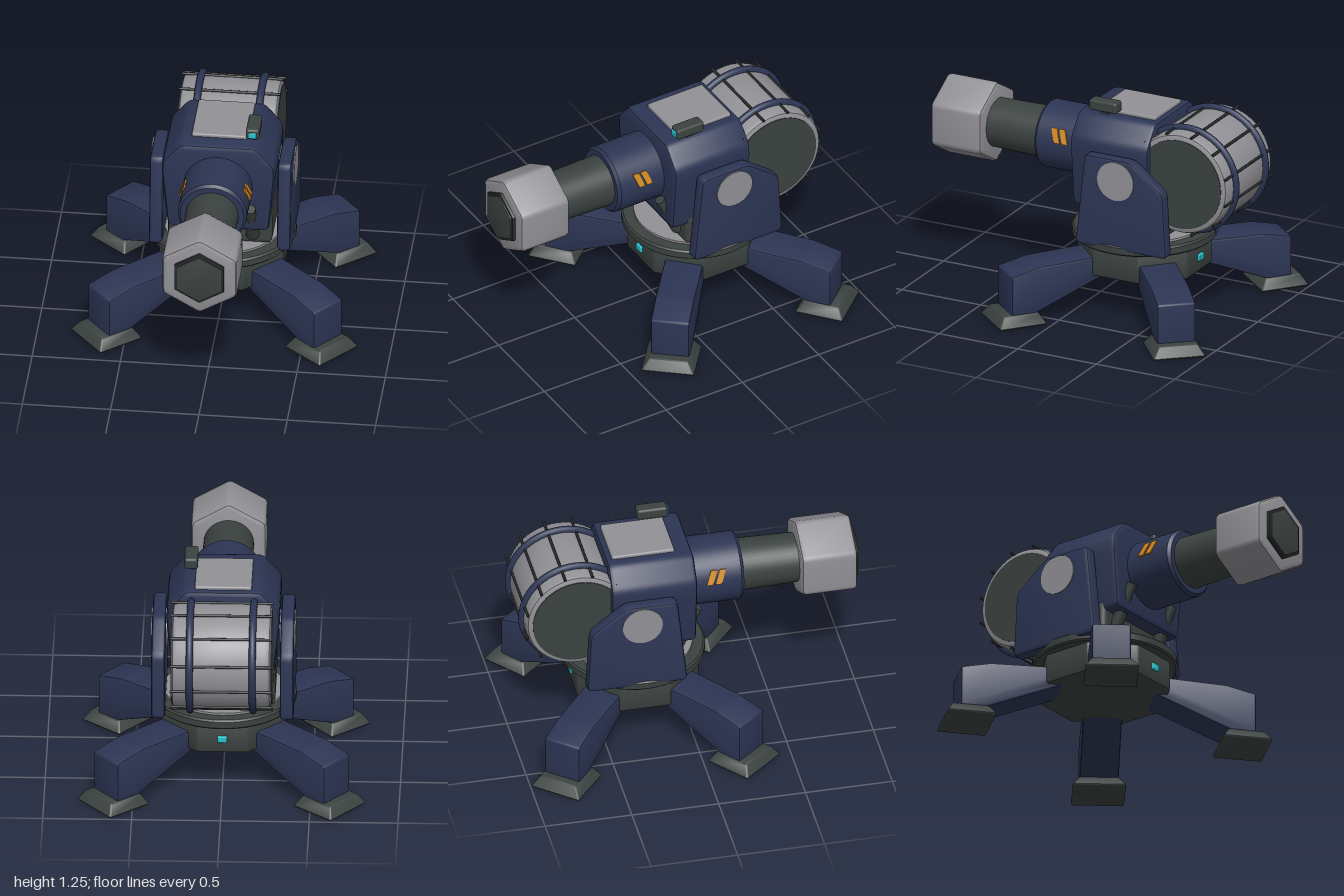
import * as THREE from 'three';
import { toCreasedNormals } from 'three/addons/utils/BufferGeometryUtils.js';
import { RoundedBoxGeometry } from 'three/addons/geometries/RoundedBoxGeometry.js';

const paint = (name, color) => {
  const m = new THREE.MeshStandardMaterial({ color });
  m.name = name;
  return m;
};

// Outline with every corner softened by radius r
function roundedShape(pts, r) {
  const s = new THREE.Shape();
  const v = pts.map(p => new THREE.Vector2(...p));
  v.forEach((p, i) => {
    const prev = v[(i + v.length - 1) % v.length], next = v[(i + 1) % v.length];
    const a = p.clone().add(prev.clone().sub(p).setLength(r));
    const b = p.clone().add(next.clone().sub(p).setLength(r));
    if (i === 0) s.moveTo(a.x, a.y); else s.lineTo(a.x, a.y);
    s.quadraticCurveTo(p.x, p.y, b.x, b.y);
  });
  s.closePath();
  return s;
}

// Bevelled prism of an outline, centred along z
function prism(pts, depth, bevel, r = 0.02) {
  const g = new THREE.ExtrudeGeometry(roundedShape(pts, r), {
    depth: depth - 2 * bevel, bevelEnabled: true, bevelThickness: bevel,
    bevelSize: bevel, bevelOffset: -bevel, bevelSegments: 2, curveSegments: 4,
  });
  g.translate(0, 0, -depth / 2 + bevel);
  return toCreasedNormals(g, 0.6);
}

const polygon = (n, r, start) => Array.from({ length: n }, (_, i) => {
  const a = start + i * Math.PI * 2 / n;
  return [r * Math.cos(a), r * Math.sin(a)];
});

const lathe = (pts, seg = 48) =>
  toCreasedNormals(new THREE.LatheGeometry(pts.map(p => new THREE.Vector2(...p)), seg), 0.5);

export function createModel() {
  const navy = paint('navy armour', 0x2c3554);
  const gray = paint('light gray metal', 0x919196);
  const dark = paint('dark gunmetal', 0x3b4240);
  const black = paint('near black', 0x242928);
  const cyan = paint('cyan light', 0x25c3cf);
  const orange = paint('orange marking', 0xd0871c);

  const model = new THREE.Group();
  const add = (name, geo, mat, x = 0, y = 0, z = 0, parent = model) => {
    const m = new THREE.Mesh(geo, mat);
    m.name = name;
    m.position.set(x, y, z);
    parent.add(m);
    return m;
  };
  const BZ = -0.28; // centre of the base along z

  // Four splayed legs with tapered feet
  const legGeo = prism([[0.2, 0.25], [0.27, 0.24], [0.71, 0.06], [0.85, 0.06],
    [0.85, 0.3], [0.68, 0.338], [0.2, 0.354]], 0.22, 0.012, 0.012);
  let footGeo = new RoundedBoxGeometry(0.28, 0.07, 0.3, 2, 0.01);
  const fp = footGeo.attributes.position;
  for (let i = 0; i < fp.count; i++) {
    const t = THREE.MathUtils.clamp((fp.getY(i) + 0.025) / 0.06, 0, 1);
    fp.setX(i, fp.getX(i) * (1 - 0.26 * t));
    fp.setZ(i, fp.getZ(i) * (1 - 0.26 * t));
  }
  footGeo = toCreasedNormals(footGeo, 0.6);
  for (const deg of [40, 140, 220, 320]) {
    const leg = new THREE.Group();
    leg.name = 'leg';
    leg.position.z = BZ;
    leg.rotation.y = -THREE.MathUtils.degToRad(deg);
    add('legBeam', legGeo, navy, 0, 0, 0, leg);
    add('foot', footGeo, dark, 0.795, 0.035, 0, leg);
    model.add(leg);
  }

  // Octagonal hub, turntable and status lights
  const hub = prism(polygon(8, 0.38, Math.PI / 8), 0.18, 0.015, 0.01).rotateX(-Math.PI / 2);
  add('hub', hub, dark, 0, 0.33, BZ);
  add('turntableRing', lathe([[0, 0.4], [0.35, 0.4], [0.35, 0.415], [0.4, 0.415], [0.41, 0.425],
    [0.41, 0.462], [0.4, 0.472], [0, 0.472]]), dark, 0, 0, BZ);
  add('turntableDisc', new THREE.CylinderGeometry(0.34, 0.34, 0.02, 48), gray, 0, 0.475, BZ);
  for (const s of [1, -1]) {
    add('statusLight', new RoundedBoxGeometry(0.055, 0.04, 0.03, 2, 0.006), cyan, 0, 0.328, BZ + s * 0.35);
  }

  // Housing and its pedestal
  add('pedestal', new RoundedBoxGeometry(0.59, 0.2, 0.46, 2, 0.03), dark, 0, 0.58, -0.29);
  add('housing', prism([[-0.285, 0.62], [0.285, 0.62], [0.32, 0.98], [0.315, 1.05], [0.215, 1.168],
    [-0.215, 1.168], [-0.315, 1.05], [-0.32, 0.98]], 0.495, 0.025, 0.03), navy, 0, 0, -0.2175);
  add('topPlate', new RoundedBoxGeometry(0.32, 0.03, 0.36, 2, 0.01), gray, 0, 1.172, -0.25);

  // Sight on top
  add('sightPost', new THREE.BoxGeometry(0.03, 0.04, 0.05), dark, 0.185, 1.175, -0.13);
  add('sight', new RoundedBoxGeometry(0.076, 0.066, 0.175, 2, 0.015), dark, 0.187, 1.216, -0.129);
  add('sightLens', new RoundedBoxGeometry(0.044, 0.036, 0.014, 2, 0.005), cyan, 0.187, 1.214, -0.04);

  // Side arms, pivots and pistons
  const armGeo = prism([[0.045, 0.44], [0.625, 0.44], [0.603, 0.83], [0.4, 0.988], [0.102, 0.988]],
    0.078, 0.018, 0.035).rotateY(Math.PI / 2);
  const pivotGeo = new THREE.CylinderGeometry(0.115, 0.115, 0.09, 40).rotateZ(Math.PI / 2);
  const tilt = Math.atan2(0.12, 0.245);
  for (const s of [1, -1]) {
    add('sideArm', armGeo, navy, s * 0.362, 0, 0);
    add('pivotCap', pivotGeo, gray, s * 0.362, 0.86, -0.307);
    const piston = new THREE.Group();
    piston.name = 'piston';
    piston.position.set(s * 0.187, 0.665, -0.002);
    piston.rotation.x = tilt;
    add('pistonSleeve', new THREE.CylinderGeometry(0.038, 0.038, 0.1, 20), dark, 0, -0.09, 0, piston);
    add('pistonRod', new THREE.CylinderGeometry(0.028, 0.028, 0.24, 20), dark, 0, 0.01, 0, piston);
    model.add(piston);
  }

  // Barrel, running forward along z
  const barrel = new THREE.Group();
  barrel.name = 'barrel';
  barrel.position.y = 0.905;
  model.add(barrel);
  add('shroud', lathe([[0, -0.05], [0.195, -0.05], [0.195, 0.31], [0.18, 0.327], [0, 0.327]])
    .rotateX(Math.PI / 2), navy, 0, 0, 0, barrel);
  add('tube', new THREE.CylinderGeometry(0.14, 0.15, 0.4, 40).rotateX(Math.PI / 2), dark, 0, 0, 0.5, barrel);
  add('muzzle', prism(polygon(6, 0.243, Math.PI / 2), 0.32, 0.025, 0.025), gray, 0, 0, 0.815, barrel);
  add('muzzleRim', prism(polygon(6, 0.162, Math.PI / 2), 0.06, 0.004, 0.005), black, 0, 0, 0.962, barrel);
  add('muzzlePlate', prism(polygon(6, 0.145, Math.PI / 2), 0.06, 0.004, 0.005), dark, 0, 0, 0.97, barrel);

  // Slanted warning stripes on both sides of the shroud
  const stripeGeo = new THREE.BoxGeometry(0.009, 0.085, 0.036);
  const sp = stripeGeo.attributes.position;
  for (let i = 0; i < sp.count; i++) sp.setZ(i, sp.getZ(i) + 0.34 * sp.getY(i));
  stripeGeo.computeVertexNormals();
  const a = 0.34;
  for (const s of [1, -1]) for (const z of [0.19, 0.14]) {
    const m = add('stripe', stripeGeo, orange, s * 0.195 * Math.cos(a), 0.195 * Math.sin(a), z, barrel);
    m.rotation.z = s * a;
  }

  // Drum at the back, lying along x
  const drum = new THREE.Group();
  drum.name = 'drum';
  drum.position.set(0, 0.863, -0.648);
  model.add(drum);
  add('drumBody', lathe([[0, -0.28], [0.27, -0.28], [0.29, -0.272], [0.3, -0.25], [0.302, 0],
    [0.3, 0.25], [0.29, 0.272], [0.27, 0.28], [0, 0.28]]).rotateZ(Math.PI / 2), gray, 0, 0, 0, drum);
  for (const s of [1, -1]) {
    add('drumCap', new THREE.CylinderGeometry(0.265, 0.265, 0.01, 48).rotateZ(Math.PI / 2),
      dark, s * 0.279, 0, 0, drum);
    add('drumStrap', new THREE.TorusGeometry(0.306, 0.021, 10, 56).rotateY(Math.PI / 2),
      navy, s * 0.177, 0, 0, drum);
  }
  const barGeo = new THREE.CylinderGeometry(0.008, 0.008, 0.574, 8).rotateZ(Math.PI / 2);
  for (let i = 0; i < 12; i++) {
    const t = (i + 0.5) * Math.PI / 6;
    add('drumBar', barGeo, black, 0, 0.304 * Math.cos(t), 0.304 * Math.sin(t), drum);
  }
  return model;
}
